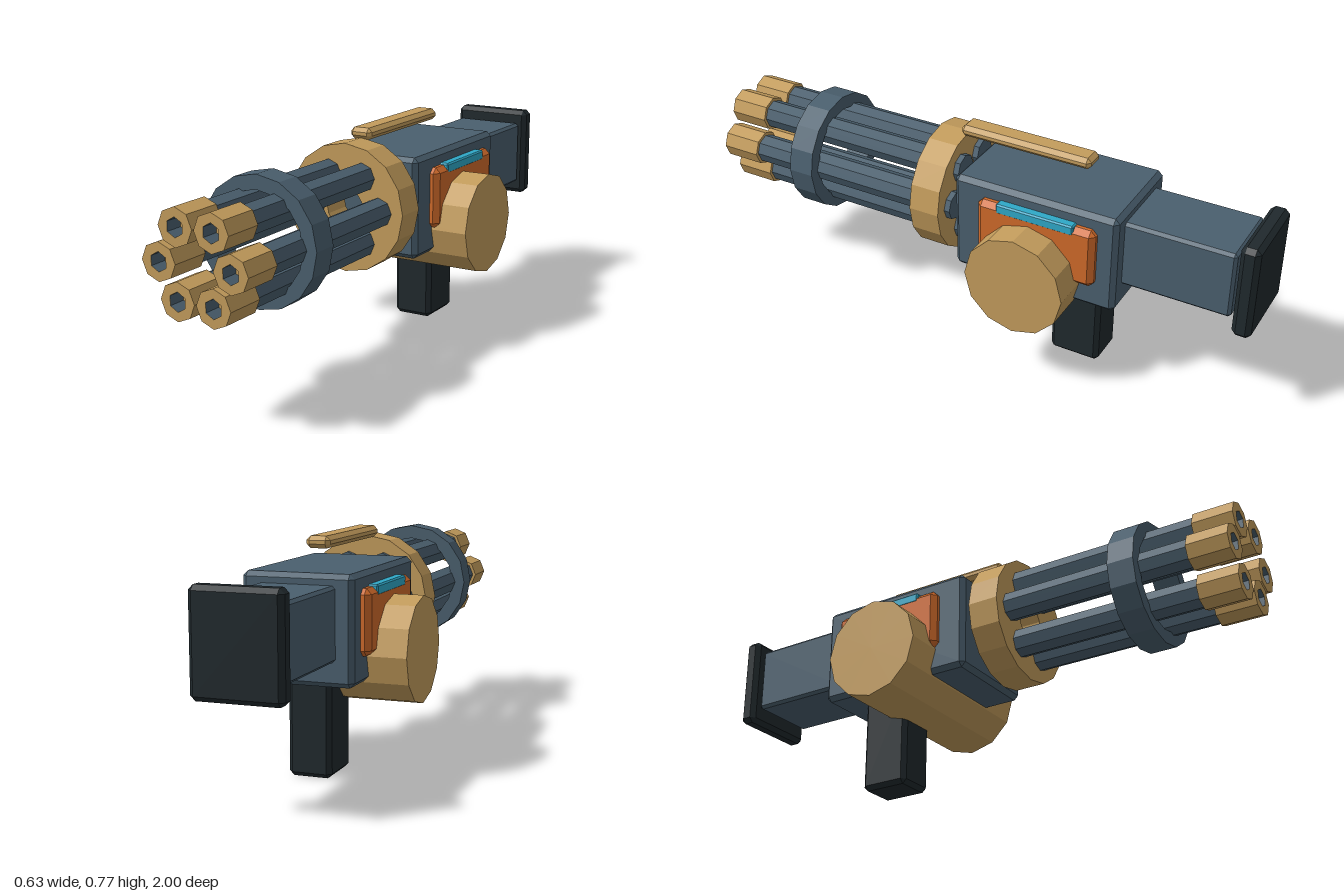
import * as THREE from 'three';
import { ConvexGeometry } from 'three/addons/geometries/ConvexGeometry.js';

const mat = (color, side = THREE.FrontSide) =>
  new THREE.MeshStandardMaterial({ color, flatShading: true, side });
const tan = mat(0xc39c5c), slate = mat(0x4a5f6e), dark = mat(0x20292d);
const orange = mat(0xd06a2a), cyan = mat(0x2fa8c8);
const boreMat = mat(0x4a5f6e, THREE.BackSide);

const AXIS_Y = 0.515;

export function createModel() {
  const model = new THREE.Group();
  model.name = 'rotaryBlaster';

  const add = (name, geometry, material, parent = model) => {
    const mesh = new THREE.Mesh(geometry, material);
    mesh.name = name;
    parent.add(mesh);
    return mesh;
  };

  // Box with chamfered edges, given by its limits on each axis
  const chamferBox = ([x0, x1], [y0, y1], [z0, z1], c) => {
    const h = [(x1 - x0) / 2, (y1 - y0) / 2, (z1 - z0) / 2];
    const points = [];
    for (const sx of [-1, 1]) for (const sy of [-1, 1]) for (const sz of [-1, 1])
      for (let full = 0; full < 3; full++) {
        const s = [sx, sy, sz];
        points.push(new THREE.Vector3(...h.map((v, i) => s[i] * (i === full ? v : v - c))));
      }
    return new ConvexGeometry(points).translate((x0 + x1) / 2, (y0 + y1) / 2, (z0 + z1) / 2);
  };

  // Regular polygon with one corner pointing up
  const polygon = (r, n) => Array.from({ length: n }, (_, i) => {
    const a = Math.PI / 2 + (i / n) * Math.PI * 2;
    return new THREE.Vector2(r * Math.cos(a), r * Math.sin(a));
  });

  // Faceted ring along z
  const ring = (rOut, nOut, rIn, nIn, z0, z1) => {
    const shape = new THREE.Shape(polygon(rOut, nOut));
    shape.holes.push(new THREE.Path(polygon(rIn, nIn)));
    return new THREE.ExtrudeGeometry(shape, { depth: z1 - z0, bevelEnabled: false }).translate(0, 0, z0);
  };

  const tubeZ = (r, n, z0, z1, open = false) =>
    new THREE.CylinderGeometry(r, r, z1 - z0, n, 1, open)
      .rotateX(Math.PI / 2).translate(0, 0, (z0 + z1) / 2);

  // Body, stock and grip
  add('receiver', chamferBox([-0.185, 0.185], [0.32, 0.672], [-0.555, 0.035], 0.016), slate);
  add('stock', chamferBox([-0.127, 0.127], [0.4, 0.637], [-0.925, -0.54], 0.01), slate);
  add('buttPlate', chamferBox([-0.147, 0.147], [0.35, 0.683], [-1, -0.936], 0.016), dark);
  add('grip', chamferBox([-0.073, 0.073], [0, 0.36], [-0.46, -0.28], 0.015), dark);
  add('topRail', chamferBox([-0.041, 0.041], [0.73, 0.77], [-0.385, 0.095], 0.014), tan);

  // Ammunition drum across the body
  const drum = add('drum', new THREE.CylinderGeometry(0.177, 0.177, 0.632, 12).rotateZ(Math.PI / 2), tan);
  drum.position.set(0, 0.403, -0.255);

  // Side panels with their light strips
  for (const [side, s] of [['left', 1], ['right', -1]]) {
    const span = (a, b) => (s > 0 ? [a, b] : [-b, -a]);
    add(side + 'Panel', chamferBox(span(0.165, 0.215), [0.41, 0.622], [-0.488, -0.064], 0.018), orange);
    add(side + 'LightStrip', chamferBox(span(0.175, 0.216), [0.593, 0.628], [-0.415, -0.137], 0.005), cyan);
  }

  // Barrel cluster: rear collar, middle band and six barrels
  const cluster = new THREE.Group();
  cluster.name = 'barrelCluster';
  cluster.position.y = AXIS_Y;
  model.add(cluster);
  add('rearCollar', ring(0.22, 16, 0.07, 16, 0.08, 0.19), tan, cluster);
  add('middleBand', ring(0.213, 16, 0.165, 16, 0.6, 0.692), slate, cluster);

  for (let i = 0; i < 6; i++) {
    const a = (i * Math.PI) / 3;
    const barrel = new THREE.Group();
    barrel.name = 'barrel' + (i + 1);
    barrel.position.set(0.128 * Math.cos(a), 0.128 * Math.sin(a), 0);
    cluster.add(barrel);
    add('barrelTube', tubeZ(0.05, 8, 0.06, 0.93), slate, barrel);
    add('muzzle', ring(0.061, 8, 0.031, 6, 0.86, 1), tan, barrel);
    add('boreLining', tubeZ(0.0305, 6, 0.94, 1, true), boreMat, barrel);
    add('boreEnd', new THREE.ShapeGeometry(new THREE.Shape(polygon(0.031, 6))).translate(0, 0, 0.94), tan, barrel);
  }

  return model;
}
